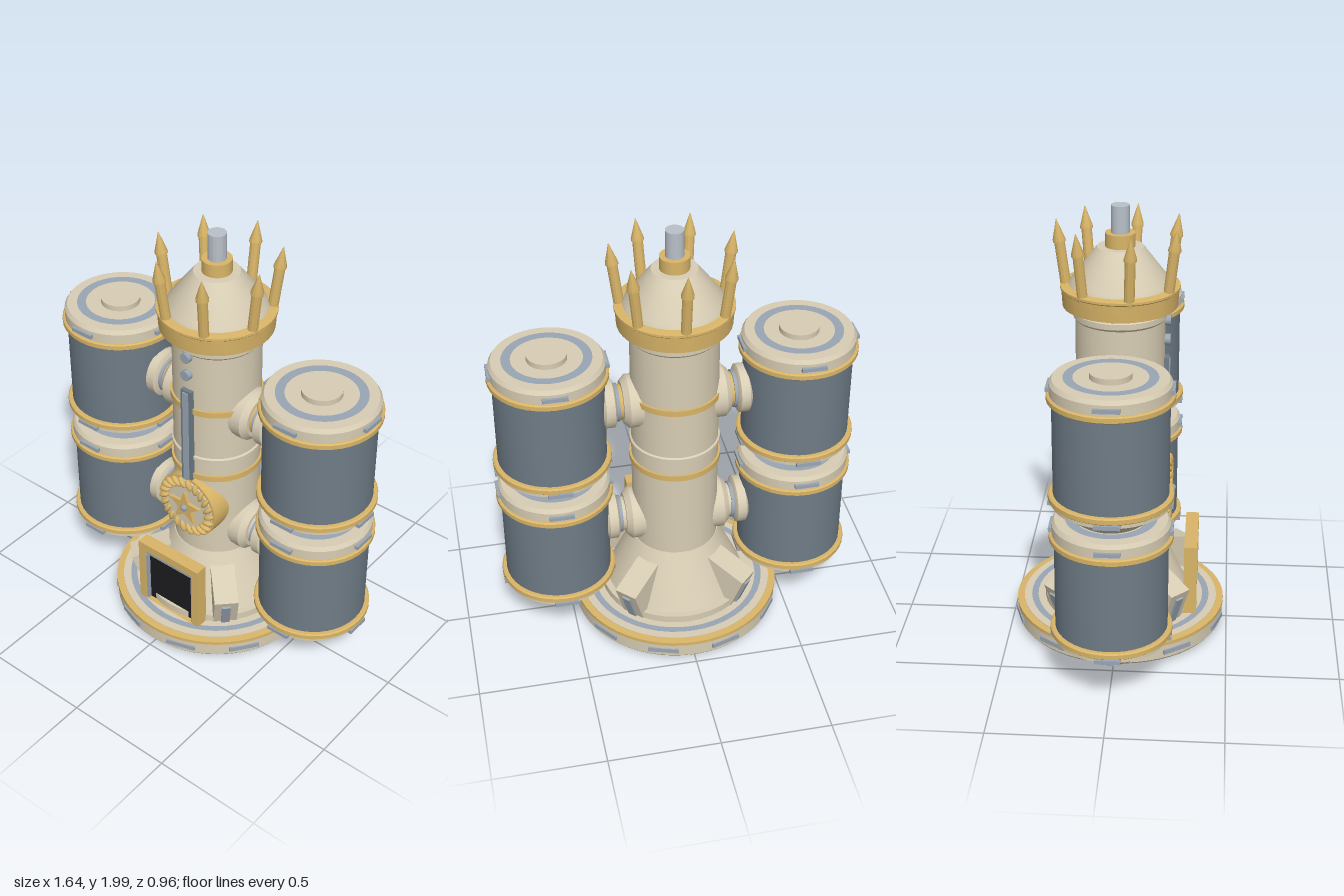
import * as THREE from 'three';
import { toCreasedNormals } from 'three/addons/utils/BufferGeometryUtils.js';

const mat = (color) => new THREE.MeshStandardMaterial({ color });
const TAN = mat(0xd8cdb4), GOLD = mat(0xd9b568), SLATE = mat(0x6f7c87);
const LIGHT = mat(0x9aa6b4), PALE = mat(0xb9c0c8), BLACK = mat(0x1d1d20);

function add(parent, name, geo, material, x = 0, y = 0, z = 0) {
  const m = new THREE.Mesh(geo, material);
  m.name = name;
  m.position.set(x, y, z);
  parent.add(m);
  return m;
}

// Turned solid from [radius, height] pairs, listed bottom to top
function turned(parent, name, material, pts, seg = 40) {
  const full = [[0, pts[0][1]], ...pts, [0, pts[pts.length - 1][1]]];
  const geo = new THREE.LatheGeometry(full.map(([r, y]) => new THREE.Vector2(r, y)), seg);
  return add(parent, name, toCreasedNormals(geo, 0.5), material);
}

const disc = (parent, name, material, r, y0, y1) => turned(parent, name, material, [[r, y0], [r, y1]]);
const box = (w, h, d) => new THREE.BoxGeometry(w, h, d);

// Runs make(group, i) for n groups turned about the y axis
function around(parent, n, offset, make) {
  for (let i = 0; i < n; i++) {
    const g = new THREE.Group();
    g.rotation.y = offset + (i * Math.PI * 2) / n;
    parent.add(g);
    make(g, i);
  }
}

function flatRing(parent, name, material, r0, r1, y) {
  const m = add(parent, name, new THREE.RingGeometry(r0, r1, 48), material, 0, y, 0);
  m.rotation.x = -Math.PI / 2;
}

function buildBase() {
  const g = new THREE.Group();
  g.name = 'base';
  turned(g, 'baseDisc', TAN, [[0.47, 0.03], [0.478, 0.04], [0.478, 0.115]], 56);
  turned(g, 'baseRim', GOLD, [[0.482, 0.104], [0.482, 0.12], [0.45, 0.122]], 56);
  turned(g, 'baseDeck', TAN, [[0.45, 0.11], [0.45, 0.125]], 56);
  flatRing(g, 'deckLightRing', LIGHT, 0.385, 0.415, 0.127);
  turned(g, 'footing', TAN, [[0.35, 0.12], [0.35, 0.16], [0.32, 0.16], [0.2, 0.42]]);
  around(g, 10, Math.PI / 10, (s) => add(s, 'baseLight', box(0.14, 0.022, 0.02), LIGHT, 0, 0.07, 0.472));
  // Leaning buttresses on the diagonals
  around(g, 4, Math.PI / 4, (s) => {
    const b = new THREE.Group();
    b.name = 'buttress';
    b.position.set(0, 0.187, 0.265);
    b.rotation.x = 0.35;
    add(b, 'buttressBlock', box(0.11, 0.3, 0.2), TAN);
    add(b, 'buttressLight', box(0.04, 0.18, 0.02), LIGHT, 0, 0.03, 0.1);
    s.add(b);
  });
  return g;
}

function buildTower() {
  const g = new THREE.Group();
  g.name = 'tower';
  turned(g, 'column', TAN, [[0.196, 0.3], [0.196, 0.945], [0.204, 0.95], [0.204, 0.965], [0.196, 0.97],
    [0.196, 1.5], [0.204, 1.51], [0.204, 1.535], [0.19, 1.54], [0.19, 1.6]]);
  for (const y of [0.86, 1.215]) disc(g, 'columnBand', GOLD, 0.206, y - 0.014, y + 0.014);
  disc(g, 'neckBand', SLATE, 0.198, 1.54, 1.55);
  turned(g, 'collar', GOLD, [[0.25, 1.56], [0.255, 1.635], [0.26, 1.64], [0.26, 1.65], [0.22, 1.655]]);
  turned(g, 'roof', TAN, [[0.225, 1.645], [0.215, 1.67], [0.1, 1.82]]);
  disc(g, 'roofCap', GOLD, 0.065, 1.81, 1.88);
  disc(g, 'mast', PALE, 0.04, 1.87, 2);
  // Crown of outward leaning spikes
  around(g, 7, Math.PI, (s) => {
    const p = new THREE.Group();
    p.name = 'crownSpike';
    p.position.set(0, 1.64, 0.235);
    p.rotation.x = 0.13;
    turned(p, 'spikeShaft', GOLD, [[0.023, -0.01], [0.023, 0.2]], 12);
    turned(p, 'spikeTip', GOLD, [[0.028, 0.195], [0.028, 0.205], [0.001, 0.295]], 12);
    s.add(p);
  });
  // Front strip and lamps
  add(g, 'frontStripFrame', box(0.056, 0.5, 0.04), SLATE, 0, 1.07, 0.195);
  add(g, 'frontStrip', box(0.03, 0.48, 0.02), LIGHT, 0, 1.07, 0.21);
  for (const y of [1.4, 1.49]) {
    add(g, 'frontLamp', new THREE.CylinderGeometry(0.024, 0.024, 0.04, 16), LIGHT, 0, y, 0.2).rotation.x = Math.PI / 2;
  }
  return g;
}

function starGeometry(r0, r1, depth) {
  const pts = [];
  for (let i = 0; i < 10; i++) {
    const a = Math.PI / 2 + (i * Math.PI) / 5, r = i % 2 ? r1 : r0;
    pts.push(new THREE.Vector2(r * Math.cos(a), r * Math.sin(a)));
  }
  return new THREE.ExtrudeGeometry(new THREE.Shape(pts), { depth, bevelEnabled: false });
}

function buildMedallion() {
  const g = new THREE.Group();
  g.name = 'medallion';
  g.position.set(0, 0.68, 0);
  const drum = turned(g, 'medallionDrum', GOLD, [[0.16, 0.08], [0.16, 0.215]]);
  const face = disc(g, 'medallionFace', TAN, 0.145, 0.2, 0.222);
  drum.rotation.x = face.rotation.x = Math.PI / 2;
  add(g, 'star', starGeometry(0.09, 0.038, 0.02), GOLD, 0, 0, 0.218);
  add(g, 'starCentre', new THREE.SphereGeometry(0.018, 12, 8), LIGHT, 0, 0, 0.236);
  // Wreath of slanted leaves
  for (let i = 0; i < 22; i++) {
    const a = (i * Math.PI * 2) / 22;
    const leaf = add(g, 'wreathLeaf', new THREE.SphereGeometry(1, 10, 8), GOLD,
      0.13 * Math.cos(a), 0.13 * Math.sin(a), 0.222);
    leaf.scale.set(0.031, 0.013, 0.016);
    leaf.rotation.z = a + 0.5;
  }
  return g;
}

function buildDoor() {
  const g = new THREE.Group();
  g.name = 'doorway';
  const frame = new THREE.Shape([[-0.175, 0.12], [0.175, 0.12], [0.175, 0.465], [-0.175, 0.465]]
    .map(([x, y]) => new THREE.Vector2(x, y)));
  frame.holes.push(new THREE.Path([[-0.14, 0.125], [-0.14, 0.425], [0.14, 0.425], [0.14, 0.125]]
    .map(([x, y]) => new THREE.Vector2(x, y))));
  add(g, 'doorFrame', new THREE.ExtrudeGeometry(frame, { depth: 0.06, bevelEnabled: false }), GOLD, 0, 0, 0.3);
  add(g, 'doorPanel', box(0.28, 0.3, 0.03), BLACK, 0, 0.275, 0.32);
  add(g, 'doorLintelLight', box(0.27, 0.014, 0.02), LIGHT, 0, 0.41, 0.342);
  for (const s of [-1, 1]) add(g, 'doorJamb', box(0.01, 0.27, 0.02), LIGHT, s * 0.134, 0.26, 0.342);
  add(g, 'doorHandle', box(0.05, 0.016, 0.015), PALE, 0, 0.15, 0.34);
  return g;
}

function buildTank(y) {
  const g = new THREE.Group();
  g.name = 'tank';
  g.position.y = y;
  disc(g, 'tankNozzle', TAN, 0.082, 0.125, 0.15);
  turned(g, 'tankBottom', TAN, [[0.1, 0.14], [0.24, 0.245], [0.25, 0.25], [0.25, 0.275]]);
  turned(g, 'tankBody', SLATE, [[0.243, 0.27], [0.243, 0.74]]);
  for (const h of [0.27, 0.715]) {
    turned(g, 'tankBand', GOLD, [[0.258, h], [0.264, h + 0.005], [0.264, h + 0.025], [0.258, h + 0.03]]);
  }
  turned(g, 'tankCap', TAN, [[0.252, 0.74], [0.252, 0.79], [0.24, 0.808]]);
  flatRing(g, 'capLightRing', LIGHT, 0.155, 0.195, 0.81);
  disc(g, 'capButton', TAN, 0.088, 0.8, 0.833);
  around(g, 4, 0, (s) => {
    for (const h of [0.258, 0.768]) add(s, 'tankLight', box(0.11, 0.018, 0.024), LIGHT, 0, h, 0.25);
  });
  return g;
}

function buildConnector(y, side, middle) {
  const g = new THREE.Group();
  g.name = 'connector';
  g.position.y = y;
  g.rotation.z = -side * Math.PI / 2;
  turned(g, 'innerFlange', TAN, [[0.12, 0.13], [0.12, 0.215], [0.095, 0.24]], 24);
  disc(g, 'connectorPipe', middle, 0.078, 0.2, 0.3);
  turned(g, 'outerFlange', TAN, [[0.09, 0.27], [0.11, 0.28], [0.11, 0.32], [0.09, 0.335]], 24);
  disc(g, 'connectorLightRing', LIGHT, 0.085, 0.255, 0.272);
  return g;
}

export function createModel() {
  const model = new THREE.Group();
  model.name = 'towerStation';
  model.add(buildBase(), buildTower(), buildMedallion(), buildDoor());
  for (const side of [-1, 1]) {
    const stack = new THREE.Group();
    stack.name = side > 0 ? 'leftTanks' : 'rightTanks';
    stack.position.x = side * 0.555;
    stack.add(buildTank(0), buildTank(0.635));
    model.add(stack, buildConnector(0.535, side, TAN), buildConnector(1.17, side, GOLD));
  }
  return model;
}
